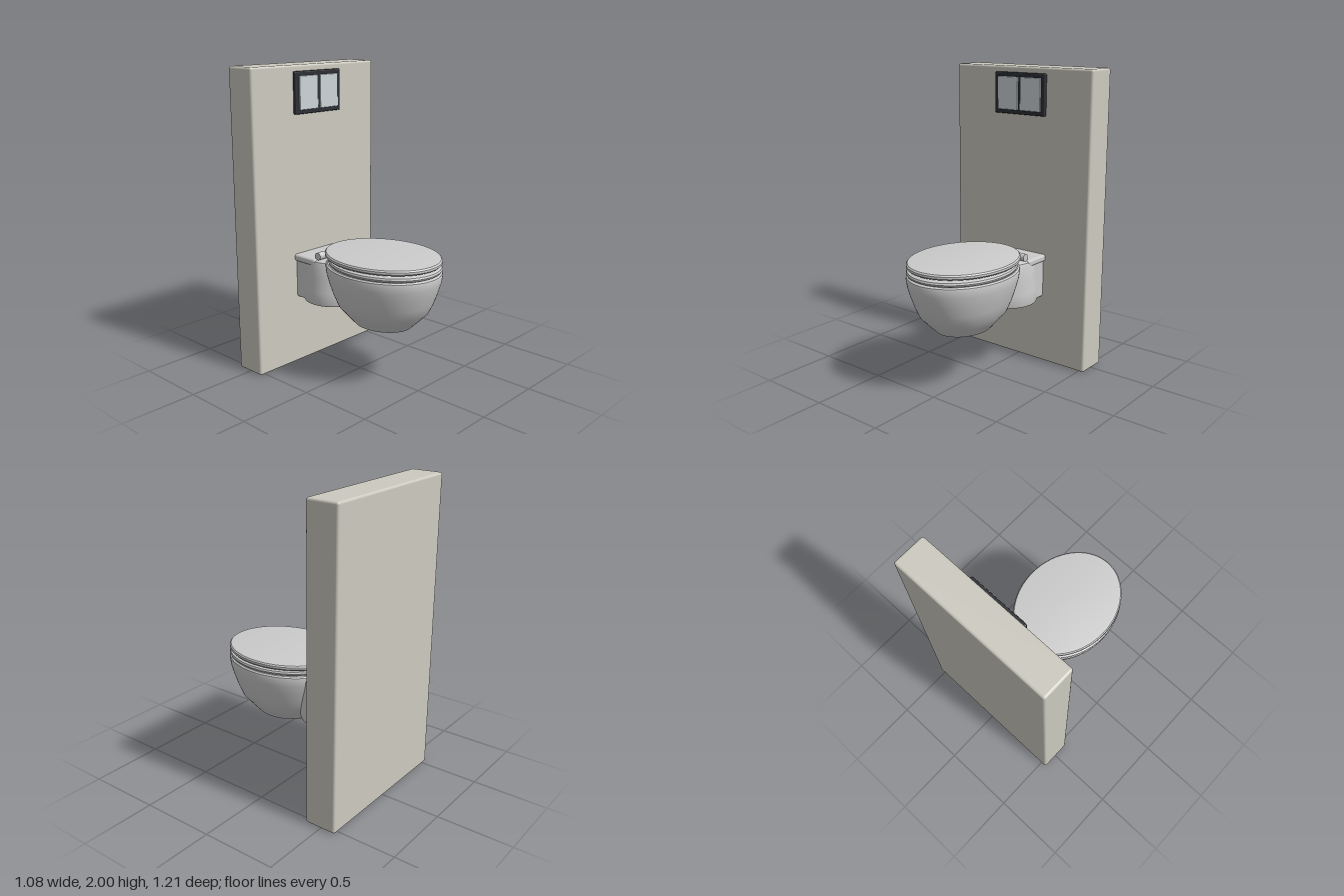
import * as THREE from 'three';
import { RoundedBoxGeometry } from 'three/addons/geometries/RoundedBoxGeometry.js';
import { toCreasedNormals } from 'three/addons/utils/BufferGeometryUtils.js';

const ceramic = new THREE.MeshStandardMaterial({ color: 0xcccccc });
const stone = new THREE.MeshStandardMaterial({ color: 0xcccabf });
const dark = new THREE.MeshStandardMaterial({ color: 0x2b2e33 });
const silver = new THREE.MeshStandardMaterial({ color: 0xcdd5da });

export function createModel() {
  const model = new THREE.Group();

  const add = (name, geometry, material, x = 0, y = 0, z = 0) => {
    const mesh = new THREE.Mesh(geometry, material);
    mesh.name = name;
    mesh.position.set(x, y, z);
    model.add(mesh);
    return mesh;
  };

  // Rounded box given by its extents
  const box = (name, material, [x0, x1], [y0, y1], [z0, z1], r) =>
    add(name, new RoundedBoxGeometry(x1 - x0, y1 - y0, z1 - z0, 3, r), material,
      (x0 + x1) / 2, (y0 + y1) / 2, (z0 + z1) / 2);

  // Elliptical turned part: points are [depth radius, height], bottom to top on the outside
  const oval = (name, points, widthRatio, z) => {
    const lathe = new THREE.LatheGeometry(points.map(p => new THREE.Vector2(...p)), 64);
    lathe.scale(widthRatio, 1, 1);
    return add(name, toCreasedNormals(lathe, 0.6), ceramic, 0, 0, z);
  };

  // Wall panel
  box('wallPanel', stone, [-0.54, 0.54], [0, 2], [-0.605, -0.39], 0.015);

  // Flush plate with two buttons
  box('flushPlate', dark, [-0.2, 0.2], [1.69, 1.96], [-0.4, -0.368], 0.008);
  for (const s of [-1, 1])
    box('flushButton', silver, [s * 0.09 - 0.081, s * 0.09 + 0.081], [1.717, 1.932], [-0.38, -0.359], 0.005);

  // Hollow bowl
  oval('bowl', [
    [0, 0.385], [0.204, 0.385], [0.262, 0.44], [0.318, 0.495], [0.352, 0.565], [0.38, 0.64],
    [0.398, 0.7], [0.405, 0.745], [0.402, 0.76], [0.39, 0.768],
    [0.3, 0.768], [0.29, 0.75], [0.25, 0.6], [0.15, 0.48], [0, 0.45],
  ], 0.802, 0.2);

  // Seat ring
  oval('seat', [
    [0.26, 0.77], [0.376, 0.768], [0.387, 0.774], [0.392, 0.785], [0.387, 0.797],
    [0.376, 0.803], [0.27, 0.803], [0.26, 0.796], [0.26, 0.77],
  ], 0.816, 0.21);

  // Lid, slightly recessed beneath
  oval('lid', [
    [0, 0.803], [0.34, 0.803], [0.38, 0.81], [0.396, 0.813], [0.405, 0.822], [0.405, 0.836],
    [0.396, 0.845], [0.38, 0.847], [0, 0.847],
  ], 0.802, 0.195);

  // Neck joining the bowl to the wall
  oval('neck', [
    [0, 0.46], [0.2, 0.46], [0.212, 0.464], [0.216, 0.475], [0.211, 0.55], [0.204, 0.64],
    [0.198, 0.735], [0.193, 0.752], [0.18, 0.76], [0, 0.76],
  ], 1.085, -0.21);
  box('neckCore', ceramic, [-0.2, 0.2], [0.465, 0.75], [-0.41, -0.25], 0.02);

  // Rear deck and hinges
  box('rearDeck', ceramic, [-0.215, 0.215], [0.72, 0.766], [-0.41, -0.205], 0.015);
  for (const s of [-1, 1]) {
    const hinge = new THREE.CylinderGeometry(0.025, 0.025, 0.055, 24).rotateZ(Math.PI / 2);
    add(s > 0 ? 'leftHinge' : 'rightHinge', hinge, ceramic, s * 0.165, 0.786, -0.197);
  }

  return model;
}
